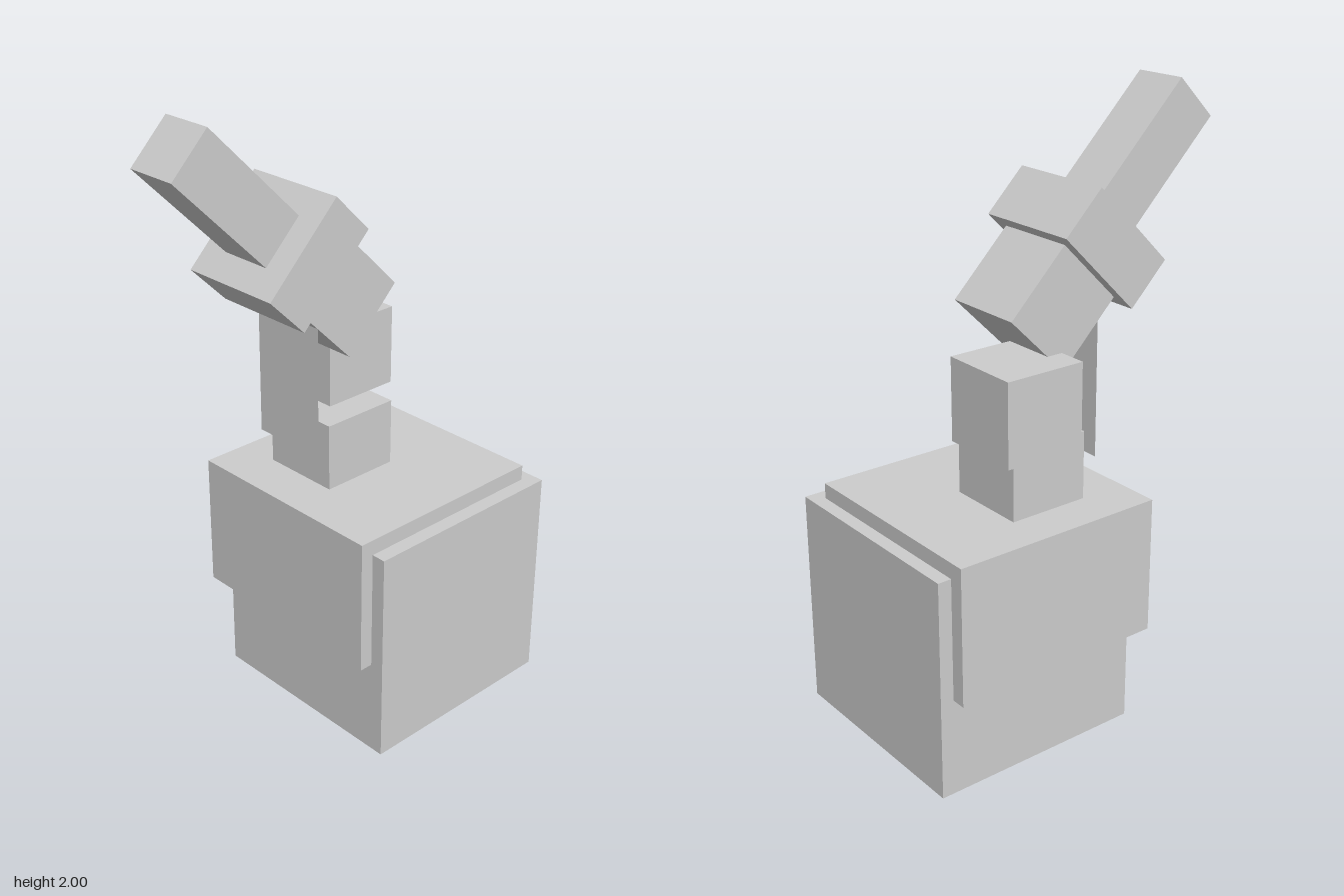
import * as THREE from 'three';

export function createModel() {
  const model = new THREE.Group();
  const grey = new THREE.MeshStandardMaterial({ color: 0xcccccc });
  grey.name = 'light grey';
  const greySheet = new THREE.MeshStandardMaterial({ color: 0xcccccc, side: THREE.DoubleSide });
  greySheet.name = 'light grey sheet';

  // Adds a box given its size and centre
  function box(parent, name, size, centre) {
    const mesh = new THREE.Mesh(new THREE.BoxGeometry(...size), grey);
    mesh.name = name;
    mesh.position.set(...centre);
    parent.add(mesh);
    return mesh;
  }

  // Base: a cube with an offset slab overlapping its top
  box(model, 'baseCube', [0.722, 0.722, 0.722], [0.203, 0.361, 0.024]);
  box(model, 'baseSlab', [0.722, 0.45, 0.722], [0.158, 0.548, -0.024]);

  // Pedestal and the offset joint above it
  box(model, 'pedestal', [0.27, 0.27, 0.27], [0.09, 0.86, -0.11]);
  box(model, 'joint', [0.27, 0.265, 0.27], [0.181, 1.132, -0.204]);

  // Upright support sheet facing sideways
  const support = new THREE.Mesh(new THREE.PlaneGeometry(0.27, 0.5), greySheet);
  support.name = 'supportSheet';
  support.rotation.y = Math.PI / 2;
  support.position.set(-0.09, 1.15, -0.11);
  model.add(support);

  // Barrel assembly, built along +y from its rear end and tilted 45 degrees
  const barrel = new THREE.Group();
  barrel.name = 'barrelAssembly';
  barrel.position.set(0.135, 1.3, -0.11);
  barrel.rotation.z = Math.PI / 4;
  box(barrel, 'rearBlock', [0.27, 0.27, 0.27], [0, 0.135, 0]);
  box(barrel, 'collar', [0.36, 0.18, 0.36], [0, 0.36, 0]);
  box(barrel, 'barrel', [0.18, 0.45, 0.18], [0, 0.675, 0]);
  model.add(barrel);

  return model;
}
